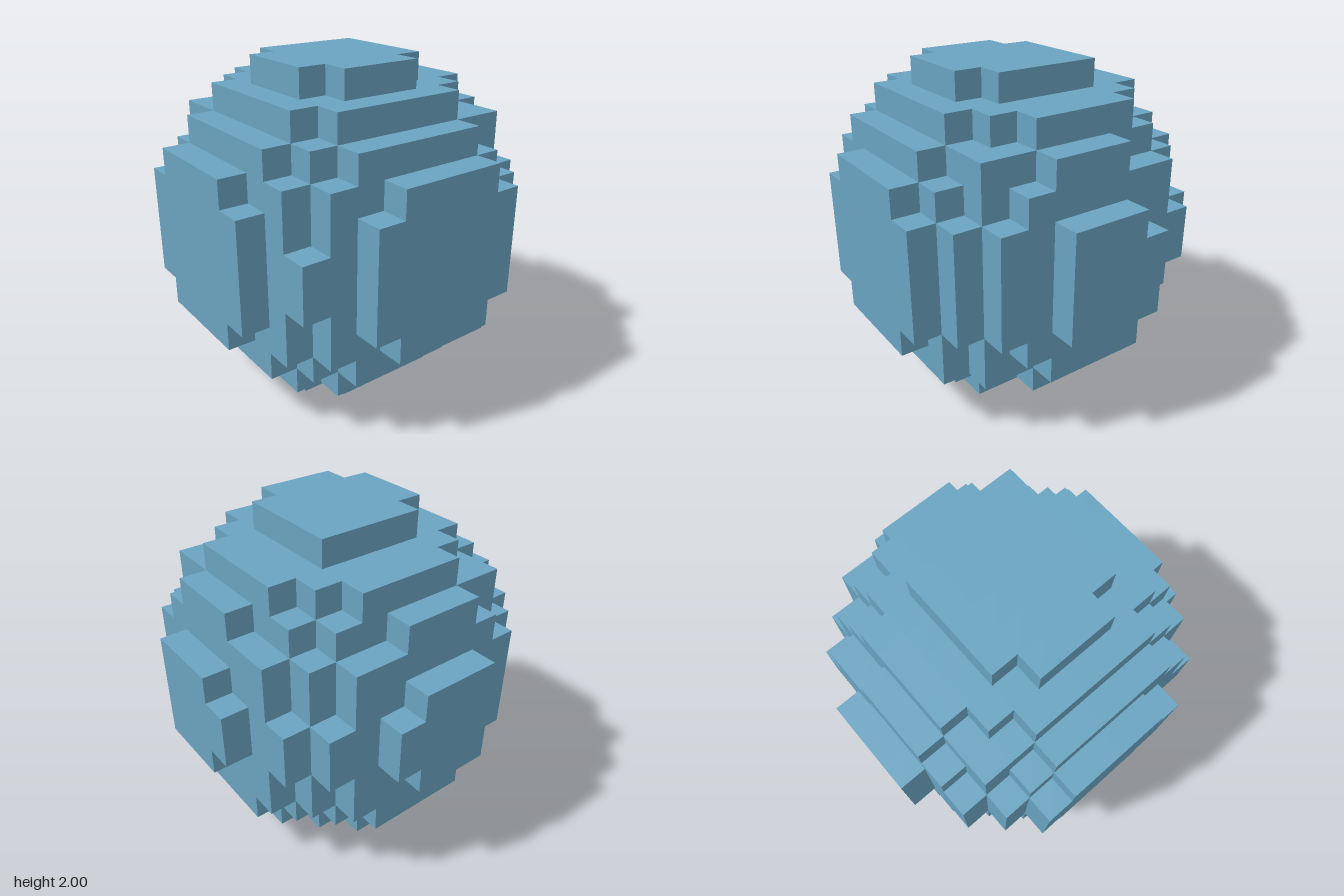
import * as THREE from 'three';

const HALF = 6;                       // blocks from the middle to each side
const UNIT = 1 / HALF;                // edge length of one block
const CENTRE = [-0.24, -0.05, 0.24];  // slightly off-grid middle of the ball, in blocks
const RADIUS_SQ = 37.888;

// Is the block whose lowest corner is at this grid cell part of the ball?
function isFilled(cell) {
  let d = 0;
  for (let a = 0; a < 3; a++) {
    if (cell[a] < -HALF || cell[a] >= HALF) return false;
    d += (cell[a] + 0.5 - CENTRE[a]) ** 2;
  }
  return d <= RADIUS_SQ;
}

// Outer faces of all blocks, one square per exposed side
function blockBallGeometry() {
  const positions = [], normals = [], indices = [];

  function addFace(cell, axis, sign) {
    const u = (axis + 1) % 3, v = (axis + 2) % 3;
    const start = positions.length / 3;
    for (const [du, dv] of [[0, 0], [1, 0], [1, 1], [0, 1]]) {
      const p = [...cell], n = [0, 0, 0];
      p[u] += du;
      p[v] += dv;
      if (sign > 0) p[axis] += 1;
      n[axis] = sign;
      positions.push(p[0] * UNIT, (p[1] + HALF) * UNIT, p[2] * UNIT);
      normals.push(...n);
    }
    const order = sign > 0 ? [0, 1, 2, 0, 2, 3] : [0, 2, 1, 0, 3, 2];
    indices.push(...order.map((i) => start + i));
  }

  for (let x = -HALF; x < HALF; x++)
    for (let y = -HALF; y < HALF; y++)
      for (let z = -HALF; z < HALF; z++) {
        const cell = [x, y, z];
        if (!isFilled(cell)) continue;
        for (let axis = 0; axis < 3; axis++)
          for (const sign of [-1, 1]) {
            const next = [...cell];
            next[axis] += sign;
            if (!isFilled(next)) addFace(cell, axis, sign);
          }
      }

  const geometry = new THREE.BufferGeometry();
  geometry.setAttribute('position', new THREE.Float32BufferAttribute(positions, 3));
  geometry.setAttribute('normal', new THREE.Float32BufferAttribute(normals, 3));
  geometry.setIndex(indices);
  return geometry;
}

export function createModel() {
  const blue = new THREE.MeshStandardMaterial({ color: 0x6aa4c1 });
  blue.name = 'soft blue';

  const ball = new THREE.Mesh(blockBallGeometry(), blue);
  ball.name = 'blockBall';

  const model = new THREE.Group();
  model.name = 'blockySphere';
  model.add(ball);
  return model;
}
